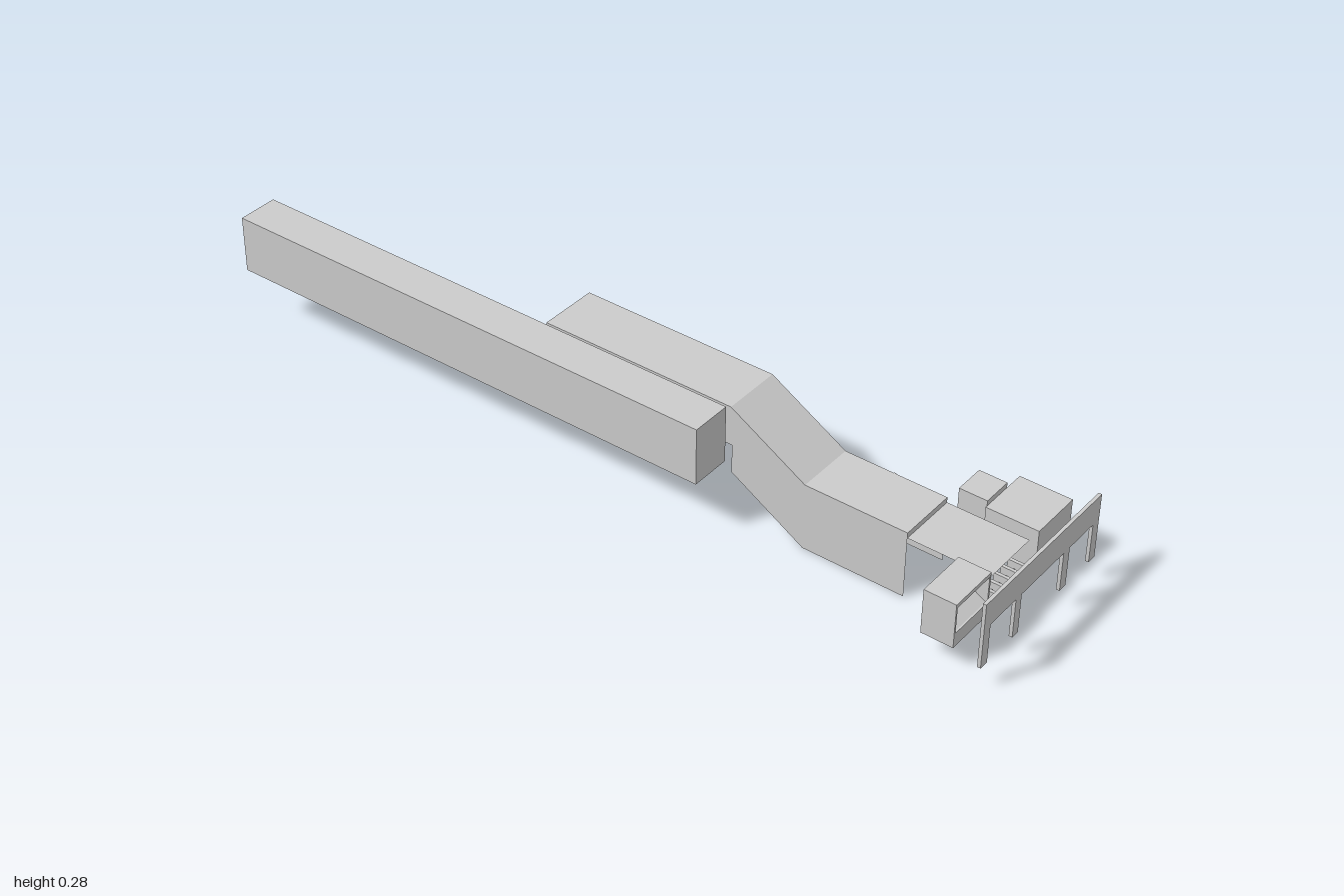
import * as THREE from 'three';

const solid = new THREE.MeshStandardMaterial({ color: 0xcccccc, flatShading: true });
const thin = new THREE.MeshStandardMaterial({ color: 0xcccccc, flatShading: true, side: THREE.DoubleSide });

export function createModel() {
  const model = new THREE.Group();
  const add = (name, geometry, material = solid) => {
    const mesh = new THREE.Mesh(geometry, material);
    mesh.name = name;
    model.add(mesh);
    return mesh;
  };
  // Box given by its limits on each axis
  const box = (name, x0, x1, y0, y1, z0, z1) =>
    add(name, new THREE.BoxGeometry(x1 - x0, y1 - y0, z1 - z0)
      .translate((x0 + x1) / 2, (y0 + y1) / 2, (z0 + z1) / 2));
  // Open strip: a [z, y] profile swept from x0 to x1
  const ribbon = (name, x0, x1, profile) => {
    const pos = [];
    for (let i = 0; i + 1 < profile.length; i++) {
      const [z0, y0] = profile[i], [z1, y1] = profile[i + 1];
      pos.push(x0, y0, z0, x1, y0, z0, x1, y1, z1, x0, y0, z0, x1, y1, z1, x0, y1, z1);
    }
    const g = new THREE.BufferGeometry();
    g.setAttribute('position', new THREE.Float32BufferAttribute(pos, 3));
    g.computeVertexNormals();
    return add(name, g, thin);
  };
  // Flat side sheet from a [z, y] outline
  const sheet = (name, x, outline) => {
    const shape = new THREE.Shape(outline.map(p => new THREE.Vector2(...p)));
    return add(name, new THREE.ShapeGeometry(shape).rotateY(-Math.PI / 2).translate(x, 0, 0), thin);
  };

  const XR = -0.085, XL = 0.06;

  // Long tunnel beside the platform
  box('tunnel', -0.195, -0.095, 0.14, 0.28, -1, 0.285);

  // Lobby, stairwell and platform: thin walls and roof in one run
  const outline = [[0.73, 0], [0.73, 0.165], [0.48, 0.165], [0.29, 0.276], [-0.2, 0.276],
    [-0.2, 0.18], [0.295, 0.18], [0.295, 0.11], [0.48, 0]];
  sheet('rightWall', XR, outline);
  sheet('leftWall', XL, outline);
  ribbon('roof', XR, XL, outline.slice(1, 5));
  ribbon('platformFloor', XR, XL, [[0.29, 0.18], [-0.2, 0.18]]);

  // Stairs
  const steps = [[0.48, 0.055]];
  const count = 18;
  for (let i = 0; i < count; i++) {
    const z = 0.48 - 0.19 * i / count, y = 0.055 + 0.125 * (i + 1) / count;
    steps.push([z, y], [z - 0.19 / count, y]);
  }
  ribbon('stairs', XR, XL, steps);

  // Doorways joining platform and tunnel
  for (const z of [0.215, -0.01]) box('doorway', -0.097, -0.083, 0.174, 0.25, z - 0.033, z + 0.033);

  // Platform kiosks and hanging signs
  for (const x of [-0.045, 0.015]) box('platformKiosk', x, x + 0.03, 0.18, 0.235, -0.18, -0.12);
  for (const x of [-0.068, 0.022]) box('hangingSign', x, x + 0.04, 0.14, 0.165, 0.6, 0.605);

  // Entrance canopy and the lintel behind it
  ribbon('entranceRoof', XR, XL, [[0.925, 0.152], [0.73, 0.152]]);
  ribbon('lintel', XR, XL, [[0.73, 0.152], [0.73, 0.165]]);

  // Turnstiles with short arms
  for (let i = 0; i < 6; i++) {
    const x = -0.079 + i * 0.027;
    box('turnstile', x - 0.004, x + 0.004, 0.055, 0.088, 0.885, 0.928);
    if (i < 5) box('turnstileArm', x + 0.004, x + 0.012, 0.078, 0.082, 0.905, 0.909);
  }

  // Ticket booth: hollow front with a sloping counter
  const bx0 = -0.21, bx1 = -0.085, bz0 = 0.85, bz1 = 0.926;
  box('boothBase', bx0, bx1, 0.055, 0.09, bz0, bz1);
  box('boothBack', bx0, bx1, 0.09, 0.165, bz0, bz0 + 0.005);
  box('boothTop', bx0, bx1, 0.155, 0.165, bz0, bz1);
  for (const x of [bx0, bx1 - 0.005]) box('boothSide', x, x + 0.005, 0.09, 0.155, bz0, bz1);
  ribbon('boothCounter', bx0 + 0.005, bx1 - 0.005, [[0.922, 0.09], [0.87, 0.12], [0.855, 0.12]]);

  // Service rooms on the other side
  box('serviceRoom', 0.095, 0.225, 0.055, 0.152, 0.8, 0.926);
  box('rearServiceRoom', 0.1, 0.176, 0.055, 0.165, 0.732, 0.8);

  // Front frame with three openings
  const frame = new THREE.Shape([
    [-0.227, 0.055], [-0.204, 0.055], [-0.204, 0.152], [-0.112, 0.152], [-0.112, 0.055],
    [-0.091, 0.055], [-0.091, 0.152], [0.066, 0.152], [0.066, 0.055], [0.089, 0.055],
    [0.089, 0.152], [0.179, 0.152], [0.179, 0.055], [0.202, 0.055], [0.202, 0.216], [-0.227, 0.216],
  ].map(p => new THREE.Vector2(...p)));
  add('frontFrame', new THREE.ExtrudeGeometry(frame, { depth: 0.008, bevelEnabled: false })
    .translate(0, 0, 0.992));

  return model;
}
